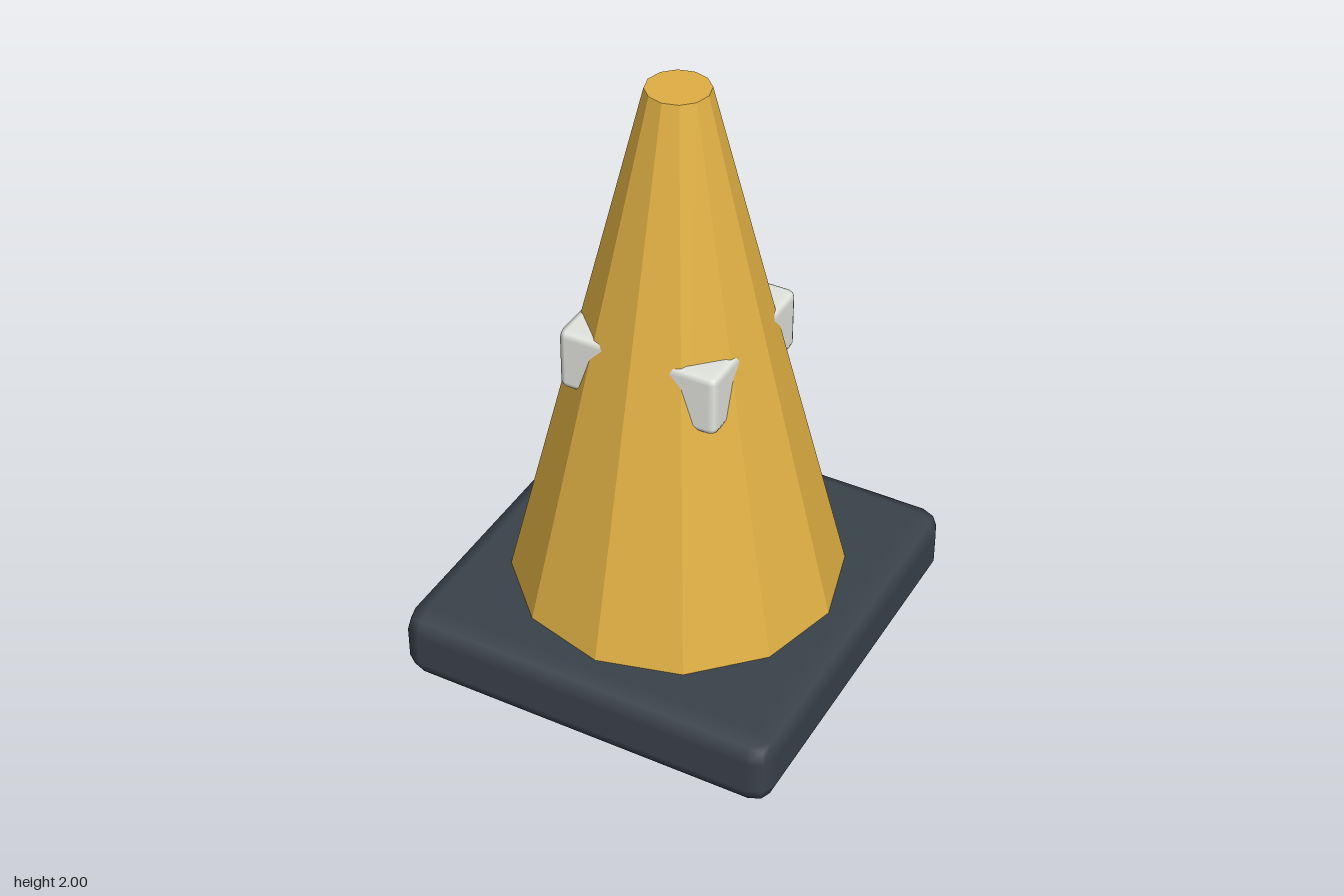
import * as THREE from 'three';
import { RoundedBoxGeometry } from 'three/addons/geometries/RoundedBoxGeometry.js';

const coneYellow = new THREE.MeshStandardMaterial({ name: 'coneYellow', color: 0xe0b044, flatShading: true });
const baseGrey = new THREE.MeshStandardMaterial({ name: 'baseGrey', color: 0x3b434b });
const bandWhite = new THREE.MeshStandardMaterial({ name: 'bandWhite', color: 0xe3e5df });

function addPart(group, name, geometry, material, y) {
  const mesh = new THREE.Mesh(geometry, material);
  mesh.name = name;
  mesh.position.y = y;
  group.add(mesh);
}

export function createModel() {
  const model = new THREE.Group();
  model.name = 'trafficCone';

  // Square rubber foot with softened edges
  addPart(model, 'base', new RoundedBoxGeometry(1.295, 0.25, 1.295, 1, 0.07), baseGrey, 0.125);

  // Twelve-sided tapered body standing on the foot
  addPart(model, 'coneBody', new THREE.CylinderGeometry(0.098, 0.535, 1.75, 12), coneYellow, 1.125);

  // Square band whose four corners poke out of the body
  addPart(model, 'band', new RoundedBoxGeometry(0.53, 0.21, 0.53, 1, 0.025), bandWhite, 1.13);

  return model;
}
